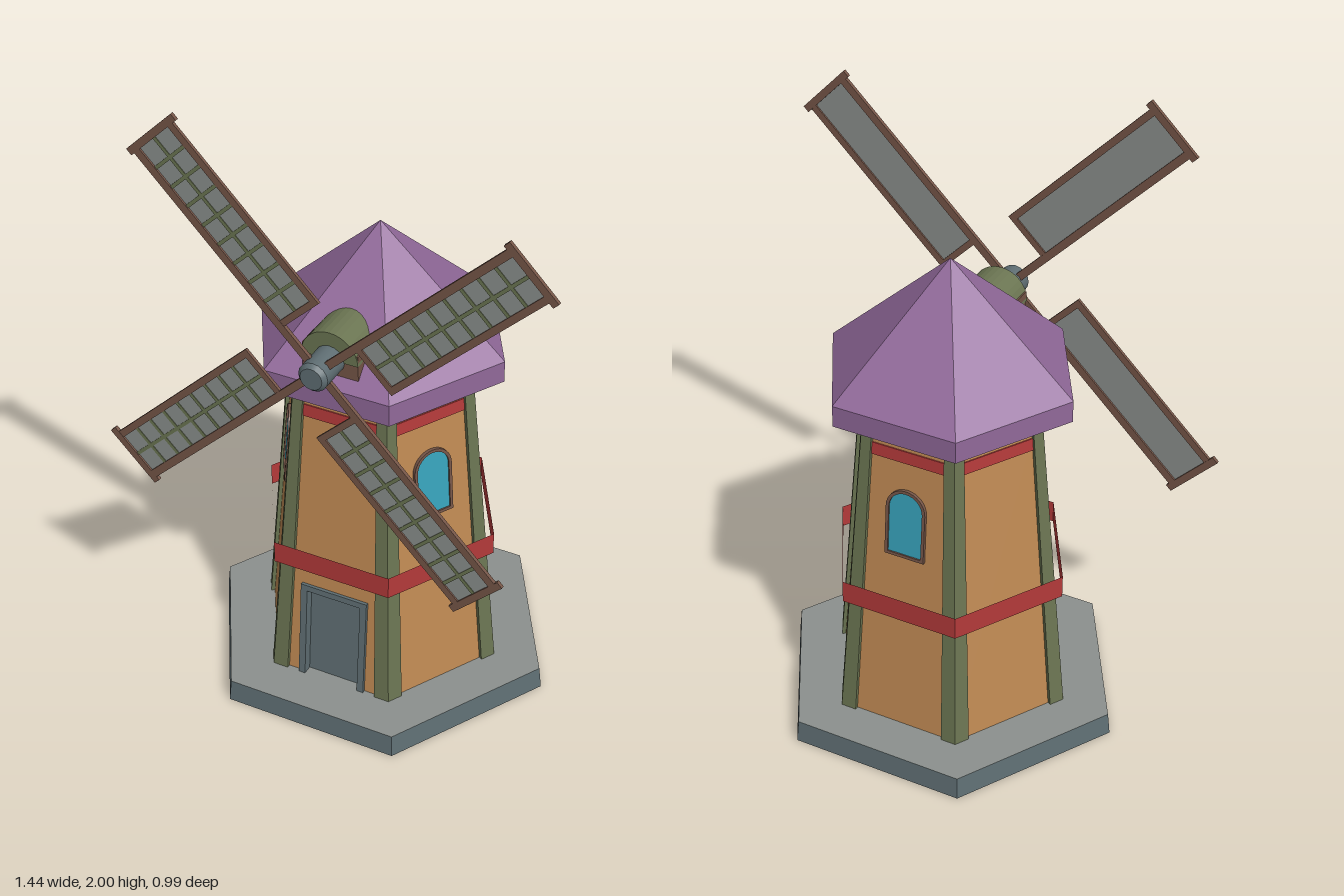
import * as THREE from 'three';

const mat = (name, color) => {
  const m = new THREE.MeshStandardMaterial({ color });
  m.name = name;
  return m;
};

export function createModel() {
  const M = {
    plaster: mat('tan plaster', 0xc18b54),
    post: mat('olive green', 0x6b7552),
    red: mat('red trim', 0xb43a3a),
    roof: mat('purple roof', 0x91699a),
    slate: mat('slate', 0x5f6e73),
    grey: mat('light grey', 0x8c918e),
    wood: mat('brown wood', 0x765648),
    glass: mat('blue glass', 0x38a4bc),
  };
  for (const m of [M.grey, M.roof, M.red]) m.side = THREE.DoubleSide;
  const root = new THREE.Group();
  root.name = 'windmill';

  const add = (parent, name, geo, material, x = 0, y = 0, z = 0) => {
    const mesh = new THREE.Mesh(geo, material);
    mesh.name = name;
    mesh.position.set(x, y, z);
    parent.add(mesh);
    return mesh;
  };
  const box = (w, h, d) => new THREE.BoxGeometry(w, h, d);
  // Open six-sided tube with corners on the x axis, between two heights
  const hex = (rTop, rBottom, y0, y1) => {
    const g = new THREE.CylinderGeometry(rTop, rBottom, y1 - y0, 6, 1, true, Math.PI / 6).toNonIndexed();
    g.translate(0, (y0 + y1) / 2, 0);
    g.computeVertexNormals();
    return g;
  };

  // Base, open band, and roof with a ceiling just inside the eaves
  const base = new THREE.CylinderGeometry(0.561, 0.569, 0.072, 6, 1, false, Math.PI / 6).toNonIndexed();
  base.computeVertexNormals();
  add(root, 'base', base, [M.slate, M.grey, M.grey], 0, 0.036, 0);
  add(root, 'band', hex(0.389, 0.389, 0.48, 0.555), M.red);
  add(root, 'eaves', hex(0.404, 0.404, 1.13, 1.2), M.roof);
  add(root, 'roof', hex(0.0005, 0.404, 1.2, 1.57), M.roof);
  const ceiling = new THREE.CircleGeometry(0.403, 6);
  ceiling.rotateX(Math.PI / 2);
  add(root, 'ceiling', ceiling, M.roof, 0, 1.138, 0);

  // Tower walls lean inwards from y = 0.07 to just above the ceiling
  const rBottom = 0.405;
  const rTop = 0.303;
  const height = 1.08;
  const cos30 = Math.cos(Math.PI / 6);
  const run = (rBottom - rTop) * cos30;
  const slant = Math.hypot(height, run);
  const recess = 0.012;

  // Group lying on one wall: y runs up the wall, z points out of it,
  // with z = 0 at the face of the corner posts
  const wall = (name, i) => {
    const b = (i * Math.PI) / 3;
    const g = new THREE.Group();
    g.name = name;
    g.rotation.order = 'YXZ';
    g.rotation.set(-Math.atan(run / height), b, 0);
    g.position.set(rBottom * cos30 * Math.sin(b), 0.07, rBottom * cos30 * Math.cos(b));
    root.add(g);
    return g;
  };
  const polygon = (Cls, pts) => new Cls(pts.map(([x, y]) => new THREE.Vector2(x, y)));
  const extrude = (shape, depth) =>
    new THREE.ExtrudeGeometry(shape, { depth, bevelEnabled: false, curveSegments: 8 });

  // Recessed wall panels, raised corner posts and a red stripe; the front has a doorway
  const xb = rBottom / 2;
  const xt = rTop / 2;
  const wb = 0.05;
  const wt = 0.033;
  for (let i = 0; i < 6; i++) {
    const g = wall('wall', i);
    const panel = polygon(THREE.Shape, [[-xb, 0], [xb, 0], [xt, slant], [-xt, slant]]);
    if (i === 0) {
      panel.holes.push(polygon(THREE.Path, [[-0.1, 0.001], [-0.1, 0.33], [0.1, 0.33], [0.1, 0.001]]));
    }
    add(g, 'wallPanel', new THREE.ShapeGeometry(panel), M.plaster, 0, 0, -recess);
    for (const s of [-1, 1]) {
      const post = polygon(THREE.Shape, [[s * (xb - wb), 0], [s * xb, 0], [s * xt, slant], [s * (xt - wt), slant]]);
      add(g, 'cornerPost', extrude(post, recess), M.post, 0, 0, -recess);
    }
    add(g, 'stripe', box(0.25, 0.04, 0.006), M.red, 0, 0.963, -recess + 0.001);
  }

  // Arched outline, also used for the window hole
  const arch = (Cls, w, y0, ySpring) => {
    const s = new Cls();
    s.moveTo(-w, y0);
    s.lineTo(w, y0);
    s.lineTo(w, ySpring);
    s.absarc(0, ySpring, w, 0, Math.PI, false);
    s.lineTo(-w, y0);
    return s;
  };

  // Arched windows on alternate walls
  for (const i of [1, 3, 5]) {
    const g = wall('window', i);
    const frame = arch(THREE.Shape, 0.066, 0.62, 0.787);
    frame.holes.push(arch(THREE.Path, 0.056, 0.63, 0.787));
    add(g, 'windowFrame', extrude(frame, 0.011), M.wood, 0, 0, -recess);
    add(g, 'windowGlass', extrude(arch(THREE.Shape, 0.058, 0.628, 0.787), 0.006), M.glass, 0, 0, -recess);
  }

  // Door set back in its frame
  const door = wall('door', 0);
  add(door, 'doorPanel', box(0.19, 0.325, 0.01), M.slate, 0, 0.1625, -0.037);
  for (const s of [-1, 1]) {
    add(door, 'doorJamb', box(0.022, 0.34, 0.045), M.slate, s * 0.102, 0.17, -0.0235);
  }
  add(door, 'doorLintel', box(0.182, 0.02, 0.045), M.slate, 0, 0.33, -0.0235);

  // Dormer that carries the axle
  const hubY = 1.284;
  add(root, 'dormerBase', box(0.18, 0.083, 0.2), M.wood, 0, 1.2745, 0.221);
  const cap = new THREE.Shape();
  cap.absarc(0, 0, 0.091, 0, Math.PI, false);
  add(root, 'dormerRoof', extrude(cap, 0.2), M.post, 0, hubY, 0.125);

  // Axle and hub, with a chamfered nose
  const axle = (r0, r1, z0, z1) => {
    const g = new THREE.CylinderGeometry(r1, r0, z1 - z0, 16);
    g.rotateX(Math.PI / 2);
    return add(root, 'hub', g, M.slate, 0, hubY, (z0 + z1) / 2);
  };
  axle(0.047, 0.047, 0.25, 0.424);
  axle(0.047, 0.035, 0.424, 0.437);

  // Four sails, each hung to one side of its spar
  for (let i = 0; i < 4; i++) {
    const g = new THREE.Group();
    g.name = 'sail';
    g.position.set(0, hubY, 0.392);
    g.rotation.z = THREE.MathUtils.degToRad(44 + 90 * i);
    root.add(g);
    const bar = (name, u0, u1, v0, v1, d, m, z = 0) =>
      add(g, name, box(u1 - u0, v1 - v0, d), m, (u0 + u1) / 2, (v0 + v1) / 2, z);
    bar('spar', 0, 0.81, -0.012, 0.013, 0.012, M.wood);
    bar('outerRail', 0.162, 0.81, -0.167, -0.145, 0.01, M.wood);
    bar('innerRail', 0.162, 0.182, -0.167, 0, 0.01, M.wood);
    bar('tipRail', 0.797, 0.82, -0.184, 0.026, 0.012, M.wood);
    add(g, 'cloth', new THREE.PlaneGeometry(0.63, 0.145), M.grey, 0.49, -0.08, 0);
    bar('latticeLong', 0.17, 0.8, -0.084, -0.073, 0.002, M.post, 0.002);
    for (let k = 1; k <= 8; k++) {
      const u = 0.182 + (k * 0.615) / 9;
      bar('latticeCross', u - 0.0055, u + 0.0055, -0.15, 0, 0.002, M.post, 0.002);
    }
  }
  return root;
}
